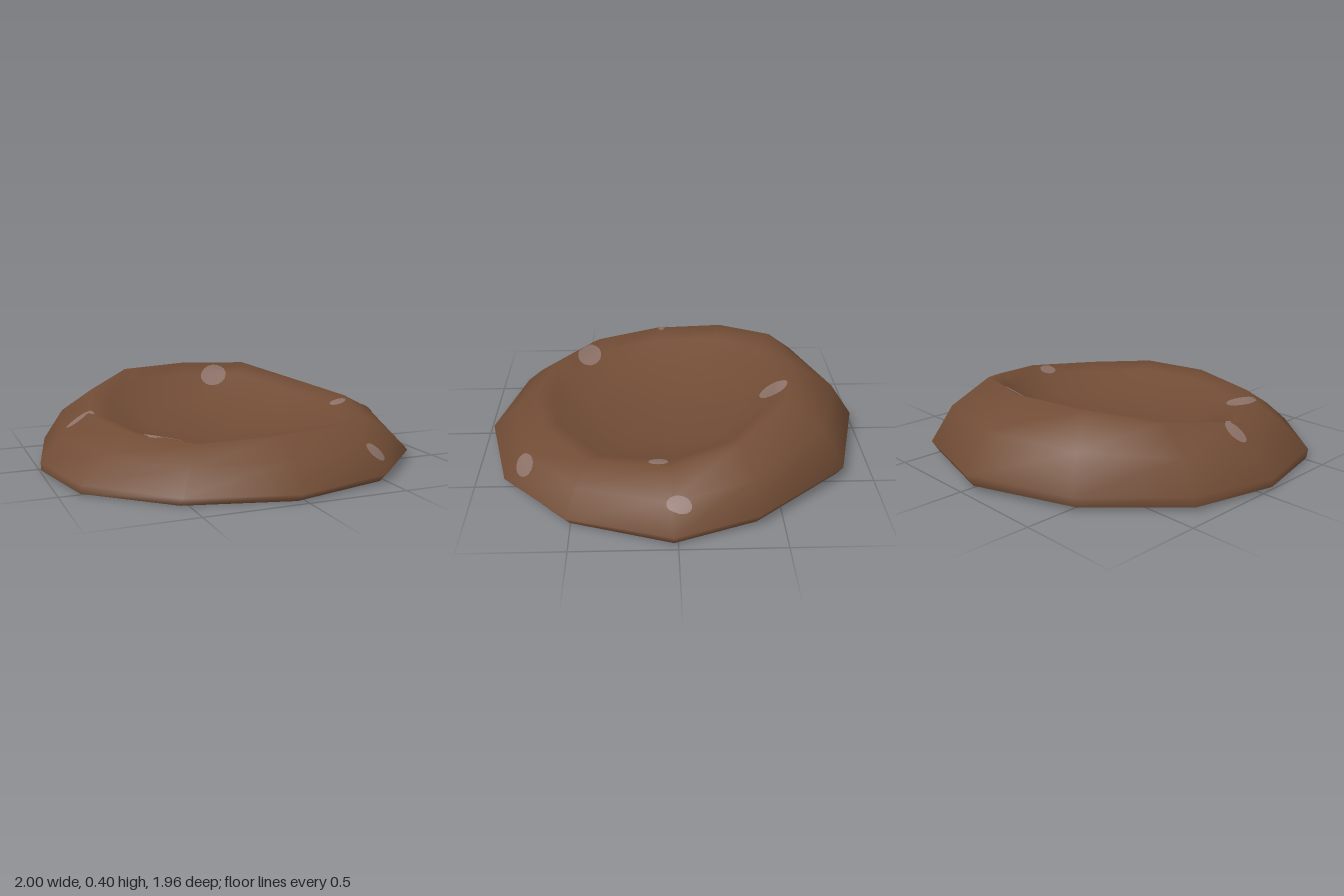
import * as THREE from 'three';

// Outer foot outline (x, y, z), from the back clockwise seen from above
const FOOT = [
  [-0.02, 0.09, -0.98], [0.49, 0.08, -0.84], [0.86, 0.075, -0.38], [1.0, 0.07, 0.02],
  [0.83, 0.055, 0.52], [0.49, 0.045, 0.85], [-0.02, 0.04, 0.98], [-0.53, 0.045, 0.85],
  [-0.9, 0.055, 0.52], [-1.0, 0.06, 0.07], [-0.9, 0.075, -0.38], [-0.53, 0.08, -0.78],
];
// Crest of the rim, high at the back and low at the front
const CREST = [
  [0, 0.405, -0.65], [0.35, 0.4, -0.56], [0.61, 0.31, -0.3], [0.73, 0.268, 0.03],
  [0.62, 0.235, 0.42], [0.35, 0.253, 0.65], [0, 0.25, 0.73], [-0.39, 0.228, 0.66],
  [-0.65, 0.255, 0.42], [-0.75, 0.28, 0.07], [-0.65, 0.34, -0.3], [-0.39, 0.4, -0.56],
];

function shellGeometry() {
  const hem = FOOT.map(([x, y, z]) => [x * 0.985 - 0.015, 0.018 - 0.014 * z, z * 0.97]);
  // Shoulder bulges more towards the back
  const shoulder = FOOT.map(([x, y, z], i) => {
    const [cx, cy, cz] = CREST[i], k = 1 + 0.027 * (1 - z);
    return [(x + cx) / 2 * k, (y + cy) / 2 + 0.017 - 0.007 * z, (z + cz) / 2 * k];
  });
  // Shallow bowl: a short step inside the crest, deeper at the back, then a scooped floor
  const wall = CREST.map(([x, y, z]) =>
    [x * 0.86, y - 0.05 + 0.02 * z + 0.02 * Math.abs(x), z * 0.87]);
  const floor = CREST.map(([x, y, z]) => [x * 0.58, 0.05 + y * 0.4, z * 0.59]);
  const rings = [hem, FOOT, shoulder, CREST, wall, floor];

  const n = FOOT.length, index = [];
  const points = [...rings.flat(), [0, 0.125, 0]];
  for (let r = 0; r < rings.length; r++) {
    for (let i = 0; i < n; i++) {
      const a = r * n + i, b = r * n + (i + 1) % n;
      if (r === rings.length - 1) index.push(a, points.length - 1, b);
      else index.push(a, a + n, b, b, a + n, b + n);
    }
  }
  const g = new THREE.BufferGeometry();
  g.setAttribute('position', new THREE.Float32BufferAttribute(points.flat(), 3));
  g.setIndex(index);
  g.computeVertexNormals();
  return g;
}

// Thin oval patch draped on the shell, sharing its smooth normals
function spotGeometry(shell, [cx, cz, rx, rz, turn], lift) {
  const g = new THREE.RingGeometry(0, 1, 18, 5).rotateX(-Math.PI / 2);
  g.scale(rx, 1, rz).rotateY(turn).translate(cx, 0, cz);
  const p = g.attributes.position, normals = g.attributes.normal;
  const ray = new THREE.Raycaster(), down = new THREE.Vector3(0, -1, 0);
  for (let i = 0; i < p.count; i++) {
    ray.set(new THREE.Vector3(p.getX(i), 2, p.getZ(i)), down);
    const hit = ray.intersectObject(shell)[0];
    const q = hit.point.addScaledVector(hit.normal, lift);
    p.setXYZ(i, q.x, q.y, q.z);
    normals.setXYZ(i, hit.normal.x, hit.normal.y, hit.normal.z);
  }
  return g;
}

export function createModel() {
  const group = new THREE.Group();
  const earth = new THREE.MeshStandardMaterial({ color: 0x714c35, side: THREE.DoubleSide });
  earth.name = 'earthBrown';
  const pale = new THREE.MeshStandardMaterial({ color: 0x8b7066, side: THREE.DoubleSide });
  pale.name = 'paleGreyBrown';

  // Hollow crater shell, open underneath
  const shell = new THREE.Mesh(shellGeometry(), earth);
  shell.name = 'craterShell';
  group.add(shell);

  // Pale spots: x, z, radii, turn; shown on both faces of the shell
  const spots = [
    [0.145, -0.52, 0.08, 0.067, 0.3], [-0.8, 0.03, 0.057, 0.038, 0.1],
    [-0.735, 0.045, 0.018, 0.02, 0], [0.655, 0.085, 0.042, 0.047, 0],
    [0.89, -0.005, 0.031, 0.058, 0], [-0.495, 0.475, 0.092, 0.066, -0.15],
    [0.49, 0.74, 0.06, 0.039, 0.5],
  ];
  for (const spot of spots) {
    for (const lift of [0.004, -0.004]) {
      const mesh = new THREE.Mesh(spotGeometry(shell, spot, lift), pale);
      mesh.name = lift > 0 ? 'upperSpot' : 'underSpot';
      group.add(mesh);
    }
  }
  return group;
}
